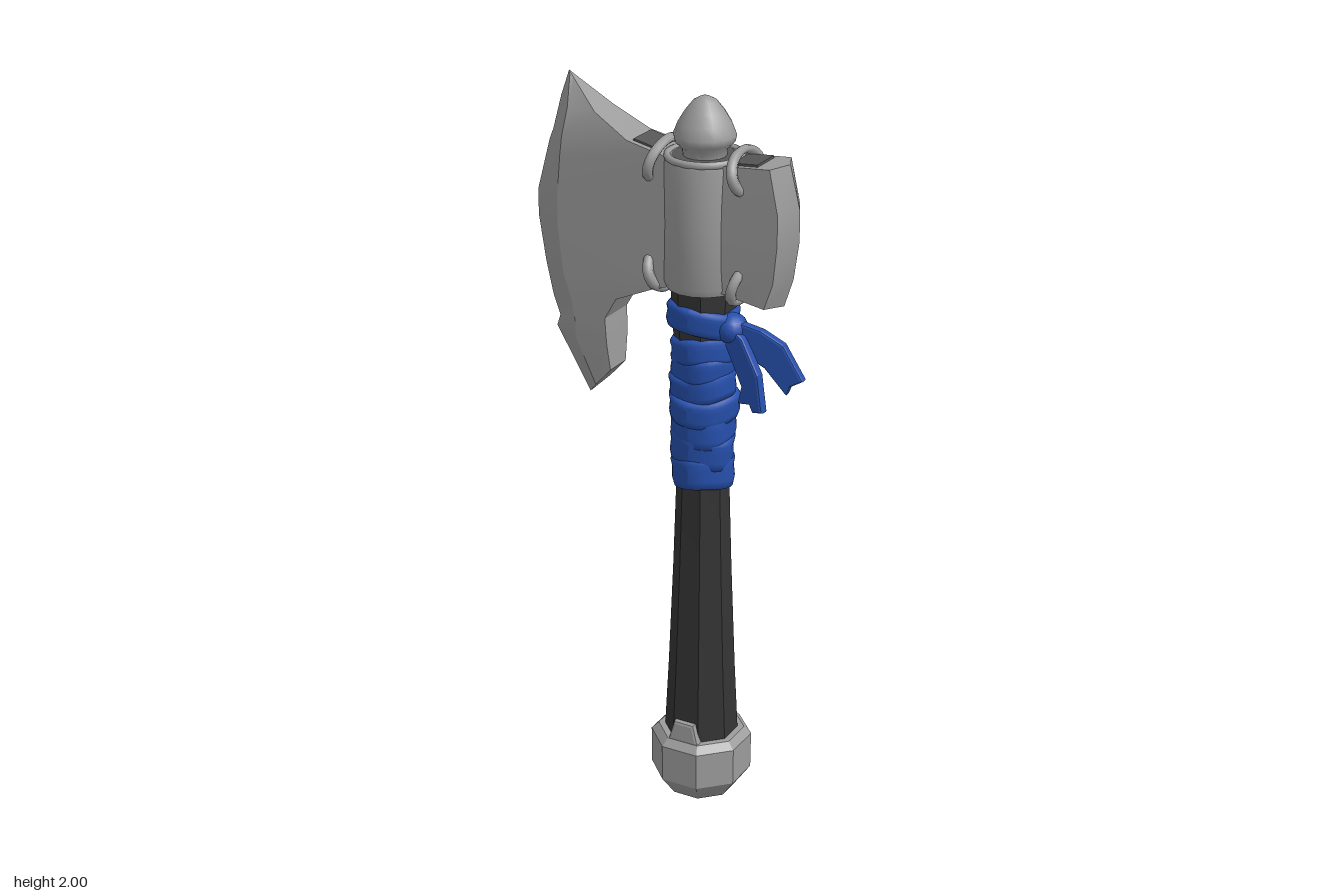
import * as THREE from 'three';
import { toCreasedNormals } from 'three/addons/utils/BufferGeometryUtils.js';

const AXIS = 0.1; // x of the haft

const mat = (name, color) => Object.assign(new THREE.MeshStandardMaterial({ color }), { name });

// Blade lofted from rows [edge x, y, bevel x, y, spine x, y, half thickness], bottom to top
function bladeGeometry(rows) {
  const pos = [], idx = [], n = 5;
  for (const [ex, ey, bx, by, sx, sy, z] of rows)
    pos.push(ex, ey, 0, bx, by, z, sx, sy, z, sx, sy, -z, bx, by, -z);
  for (let r = 0; r < rows.length - 1; r++)
    for (let i = 0; i < n; i++) {
      const a = r * n + i, b = r * n + (i + 1) % n;
      idx.push(a, b, b + n, a, b + n, a + n);
    }
  const top = (rows.length - 1) * n;
  for (let i = 1; i < n - 1; i++) idx.push(0, i + 1, i, top, top + i, top + i + 1);
  const g = new THREE.BufferGeometry();
  g.setAttribute('position', new THREE.Float32BufferAttribute(pos, 3));
  g.setIndex(idx);
  return toCreasedNormals(g, 0.5);
}

// Closed or open profile of [radius, y] pairs turned around the haft
const lathe = (pts, sides, start = 0) =>
  new THREE.LatheGeometry(pts.map(([x, y]) => new THREE.Vector2(x, y)), sides, start);

// Soft cloth band with uneven folds
function bandGeometry(h, r, seed) {
  const g = lathe([[r - 0.025, -h / 2], [r - 0.005, -h * 0.42], [r, -h * 0.2], [r - 0.002, h * 0.1],
    [r + 0.002, h * 0.3], [r - 0.005, h * 0.43], [r - 0.025, h / 2]], 28);
  const p = g.attributes.position;
  for (let i = 0; i < p.count; i++) {
    const a = Math.atan2(p.getX(i), p.getZ(i));
    const k = 1 + 0.025 * Math.sin(3 * a + seed * 2.1) + 0.02 * Math.sin(5 * a + seed);
    p.setXYZ(i, p.getX(i) * k, p.getY(i) + 0.006 * Math.sin(2 * a + seed), p.getZ(i) * k);
  }
  g.computeVertexNormals();
  return g;
}

// Flat outline with thickness
function plate(points, depth, bevel) {
  const shape = new THREE.Shape(points.map(([x, y]) => new THREE.Vector2(x, y)));
  return new THREE.ExtrudeGeometry(shape, {
    depth, bevelEnabled: bevel > 0, bevelThickness: bevel, bevelSize: bevel, bevelOffset: -bevel, bevelSegments: 2,
  }).translate(0, 0, -depth / 2);
}

export function createModel() {
  const root = new THREE.Group();
  root.name = 'battleAxe';
  const steel = mat('steel', 0x9c9c9c);
  const darkSteel = mat('darkSteel', 0x565656);
  const wood = mat('darkWood', 0x343434);
  const cloth = mat('blueCloth', 0x2650ad);
  cloth.side = THREE.DoubleSide;

  const add = (name, geo, material, x = 0, y = 0, z = 0) => {
    const m = new THREE.Mesh(geo, material);
    m.name = name;
    m.position.set(x, y, z);
    root.add(m);
    return m;
  };

  // Haft, eight sided and flared at the foot
  add('haft', toCreasedNormals(lathe([[0.1, 0.15], [0.1, 0.2], [0.09, 0.4], [0.078, 0.7], [0.07, 0.95],
    [0.075, 1.3], [0.085, 1.46], [0.085, 1.82], [0, 1.82]], 8, Math.PI / 8), 0.5), wood, AXIS);

  // Pommel with a tab on the front and back
  add('pommel', toCreasedNormals(lathe([[0, 0.004], [0.075, 0.008], [0.095, 0.018], [0.137, 0.075], [0.138, 0.18],
    [0.118, 0.2], [0.09, 0.2]], 8, Math.PI / 8), 0.5), steel, AXIS);
  add('pommelBase', new THREE.CylinderGeometry(0.055, 0.055, 0.006, 8), darkSteel, AXIS, 0.003);
  for (const s of [1, -1]) {
    const tab = add('pommelTab', plate([[-0.06, 0.17], [0.06, 0.17], [0.045, 0.2], [0.03, 0.255], [-0.03, 0.255],
      [-0.045, 0.2]], 0.02, 0.008), steel, AXIS, 0, s * 0.102);
    tab.rotation.x = -s * 0.06;
  }

  // Large blade with two horns
  add('largeBlade', bladeGeometry([
    [-0.24, 1.13, -0.2, 1.17, -0.155, 1.22, 0.04],
    [-0.34, 1.3, -0.25, 1.3, -0.157, 1.3, 0.055],
    [-0.33, 1.33, -0.25, 1.35, -0.16, 1.37, 0.058],
    [-0.35, 1.386, -0.26, 1.41, -0.125, 1.43, 0.06],
    [-0.37, 1.475, -0.28, 1.475, -0.02, 1.476, 0.062],
    [-0.39, 1.6, -0.295, 1.6, 0.05, 1.5, 0.062],
    [-0.39, 1.67, -0.295, 1.68, 0.05, 1.83, 0.062],
    [-0.352, 1.81, -0.285, 1.79, 0, 1.84, 0.062],
    [-0.34, 1.84, -0.28, 1.84, -0.09, 1.86, 0.06],
    [-0.315, 1.93, -0.27, 1.915, -0.19, 1.915, 0.045],
    [-0.29, 2.0, -0.283, 1.99, -0.273, 1.985, 0.008],
  ]), steel);

  // Small rear blade, built facing -x and turned around
  add('smallBlade', bladeGeometry([
    [-0.328, 1.475, -0.3, 1.48, -0.13, 1.51, 0.06],
    [-0.352, 1.55, -0.325, 1.55, -0.13, 1.55, 0.062],
    [-0.366, 1.65, -0.335, 1.65, -0.13, 1.65, 0.062],
    [-0.366, 1.73, -0.335, 1.73, -0.13, 1.73, 0.062],
    [-0.337, 1.846, -0.31, 1.844, -0.13, 1.83, 0.06],
  ]), steel).rotation.y = Math.PI;

  // Dark inlays on the blade rims beneath the rings
  for (const [x, y, tilt] of [[-0.045, 1.851, -0.22], [0.235, 1.84, 0.08], [0.235, 1.491, -0.18]])
    add('rimInlay', new THREE.BoxGeometry(0.07, 0.008, 0.09), darkSteel, x, y).rotation.z = tilt;

  // Socket around the haft, with rolled rims and a dark cap
  add('socket', toCreasedNormals(lathe([[0.084, 1.492], [0.098, 1.492], [0.104, 1.51], [0.102, 1.66], [0.104, 1.82],
    [0.1, 1.838], [0.084, 1.838]], 16, Math.PI / 16), 0.7), steel, AXIS);
  add('socketCap', new THREE.CylinderGeometry(0.088, 0.088, 0.006, 16), darkSteel, AXIS, 1.834);
  add('socketRim', new THREE.TorusGeometry(0.094, 0.01, 8, 32).rotateX(Math.PI / 2), steel, AXIS, 1.835);

  // Pointed knob on top
  add('topKnob', lathe([[0.055, 1.83], [0.058, 1.855], [0.076, 1.872], [0.08, 1.89], [0.068, 1.92], [0.05, 1.95],
    [0.03, 1.975], [0.012, 1.985], [0, 1.987]], 16), steel, AXIS);

  // Four oval rings laced through the blades
  for (const s of [1, -1])
    for (const [y, tilt] of [[1.81, 1], [1.523, -1]]) {
      const ring = add('lacingRing', new THREE.TorusGeometry(0.068, 0.014, 8, 28).rotateY(Math.PI / 2)
        .scale(1, 0.8, 1.13), steel, AXIS + s * 0.118, y);
      ring.rotation.z = s * tilt * 0.28;
    }

  // Cloth wrapping: [centre y, height, radius, tilt]
  [[0.985, 0.1, 0.083, 0.05], [1.05, 0.1, 0.084, -0.06], [1.11, 0.1, 0.086, 0.04], [1.165, 0.08, 0.092, -0.03],
    [1.225, 0.08, 0.086, 0.06], [1.275, 0.08, 0.084, -0.07], [1.325, 0.08, 0.085, 0.05],
    [1.412, 0.075, 0.093, -0.1]].forEach(([y, h, r, tilt], i) => {
    add('wrapBand', bandGeometry(h, r, i + 1), cloth, AXIS, y).rotation.z = tilt;
  });

  // Knot and two loose tails
  add('knot', new THREE.SphereGeometry(0.045, 14, 10).scale(0.9, 0.9, 1), cloth, 0.19, 1.395, 0.015);
  const tailA = add('longTail', plate([[0, 0.03], [0.09, 0.01], [0.15, -0.02], [0.205, -0.11], [0.17, -0.13],
    [0.16, -0.155], [0.1, -0.09], [0, -0.04]], 0.016, 0.006), cloth, 0.185, 1.395, 0.02);
  tailA.rotation.y = 0.1;
  const tailB = add('shortTail', plate([[0, 0.02], [0.05, -0.01], [0.1, -0.1], [0.115, -0.2], [0.085, -0.205],
    [0.075, -0.185], [0.04, -0.19], [0.05, -0.14], [0, -0.04]], 0.016, 0.006), cloth, 0.185, 1.395, 0.03);
  tailB.rotation.y = -0.12;

  return root;
}
